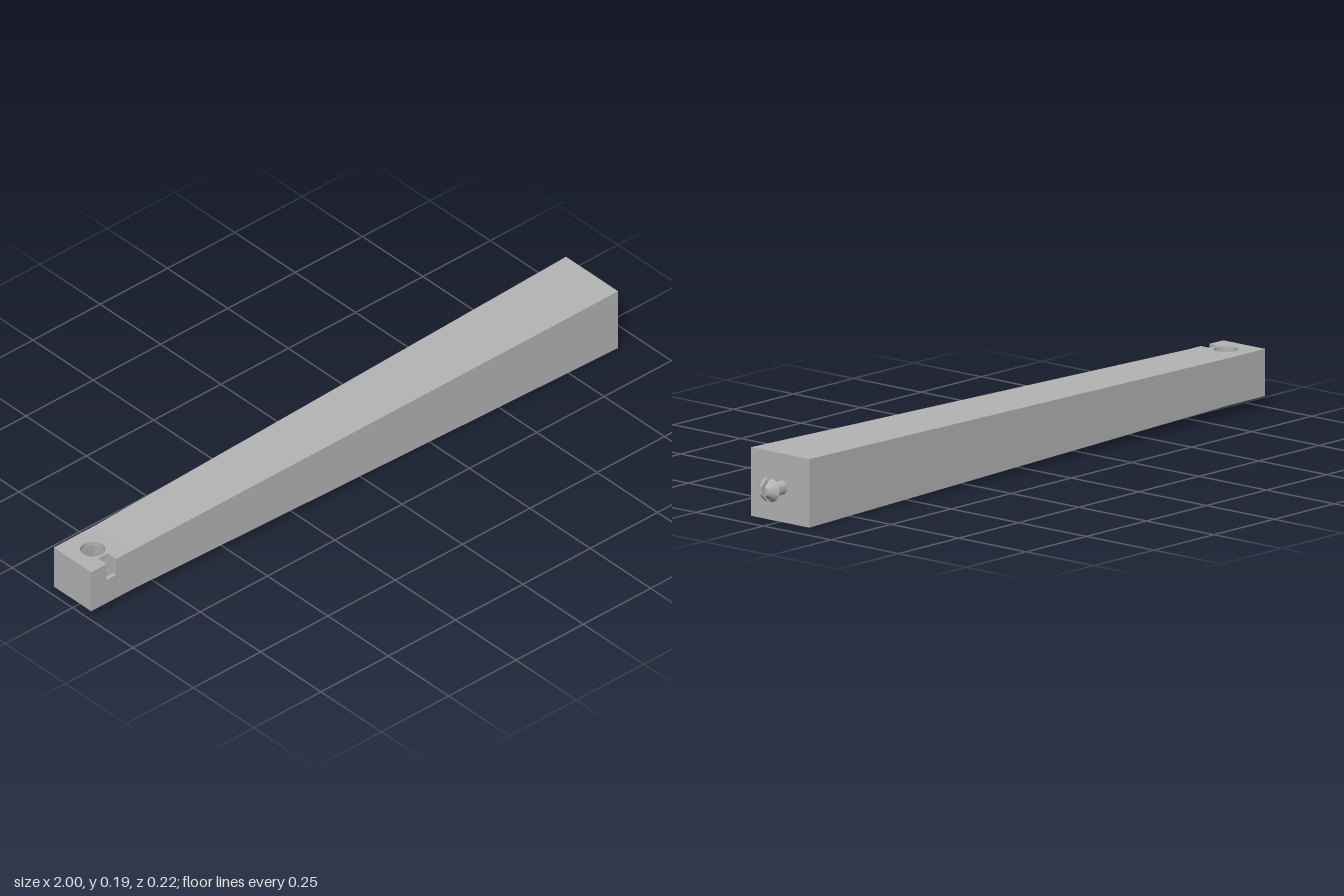
import * as THREE from 'three';
import { toCreasedNormals, mergeGeometries } from 'three/addons/utils/BufferGeometryUtils.js';

const MID = 0.0975;                       // height of the long axis
const TIP = { x0: -1, x1: -0.85, hy: 0.067, hz: 0.0775 };
const BUTT = { x: 0.93, hy: 0.0975, hz: 0.108 };
const WALL = 0.012;
const SLOT = { x: -0.925, w: 0.0175, y: 0.11 };

// Extrudes a plan outline (x, z) downwards from y = top to y = bottom
function slab(shape, top, bottom) {
  const g = new THREE.ExtrudeGeometry(shape, { depth: top - bottom, bevelEnabled: false, curveSegments: 12 });
  g.rotateX(Math.PI / 2);
  g.translate(0, top, 0);
  return g;
}

function outline(points) {
  return new THREE.Shape(points.map(([x, z]) => new THREE.Vector2(x, z)));
}

export function createModel() {
  const group = new THREE.Group();
  const grey = new THREE.MeshStandardMaterial({ color: 0xb3b3b3 });
  grey.name = 'plain grey';
  const add = (name, geometry, parent = group) => {
    const mesh = new THREE.Mesh(geometry, grey);
    mesh.name = name;
    parent.add(mesh);
    return mesh;
  };

  // Tapered arm: a box whose two ends get different cross-sections
  const arm = new THREE.BoxGeometry(2, 2, 2).toNonIndexed();
  const p = arm.attributes.position;
  for (let i = 0; i < p.count; i++) {
    const end = p.getX(i) > 0 ? BUTT : TIP;
    p.setXYZ(i, p.getX(i) > 0 ? BUTT.x : TIP.x1, MID + p.getY(i) * end.hy, p.getZ(i) * end.hz);
  }
  arm.computeVertexNormals();
  add('taperedArm', arm);

  // Hollow tip, open below
  const { x0, x1, hy, hz } = TIP;
  const i0 = x0 + WALL, i1 = x1 - WALL, iz = hz - WALL;
  const s0 = SLOT.x - SLOT.w, s1 = SLOT.x + SLOT.w;
  const top = MID + hy, ceiling = top - 0.015;

  const ring = outline([[x0, -hz], [x1, -hz], [x1, hz], [x0, hz]]);
  ring.holes.push(outline([[i0, -iz], [i0, iz], [i1, iz], [i1, -iz]]));
  add('socketLowerWalls', slab(ring, SLOT.y, MID - hy));

  // Upper walls with the front slot
  const cutRing = outline([
    [x0, -hz], [x1, -hz], [x1, hz], [s1, hz], [s1, iz], [i1, iz],
    [i1, -iz], [i0, -iz], [i0, iz], [s0, iz], [s0, hz], [x0, hz],
  ]);
  add('socketUpperWalls', slab(cutRing, ceiling, SLOT.y));

  // Top plate with round hole and slot
  const plate = outline([
    [x0, -hz], [x1, -hz], [x1, hz], [s1, hz], [s1, 0.043], [s0, 0.043], [s0, hz], [x0, hz],
  ]);
  const hole = new THREE.Path();
  hole.absarc(SLOT.x, 0, 0.035, 0, Math.PI * 2, true);
  plate.holes.push(hole);
  add('socketTop', slab(plate, top, ceiling));

  // Split snap pin: two half-round prongs with a gap between them
  const profile = [[0, 0], [0.02, 0], [0.02, 0.046], [0.0335, 0.046], [0.0125, 0.07], [0, 0.07]]
    .map(([r, h]) => new THREE.Vector2(r, h));
  const round = toCreasedNormals(
    new THREE.LatheGeometry(profile, 20, -Math.PI / 2, Math.PI).toNonIndexed(), 0.5);
  const mirrored = profile.slice(1, -1).reverse().map((v) => new THREE.Vector2(-v.x, v.y));
  const flat = new THREE.ShapeGeometry(new THREE.Shape([...profile.slice(1, -1), ...mirrored]));
  flat.rotateY(Math.PI);
  const prong = mergeGeometries([round, flat.toNonIndexed()]);
  prong.rotateZ(-Math.PI / 2);
  prong.translate(0, 0, 0.0055);

  const pin = new THREE.Group();
  pin.name = 'snapPin';
  pin.position.set(BUTT.x, 0.0985, 0);
  add('frontProng', prong, pin);
  add('backProng', prong, pin).rotation.x = Math.PI;
  group.add(pin);

  return group;
}
